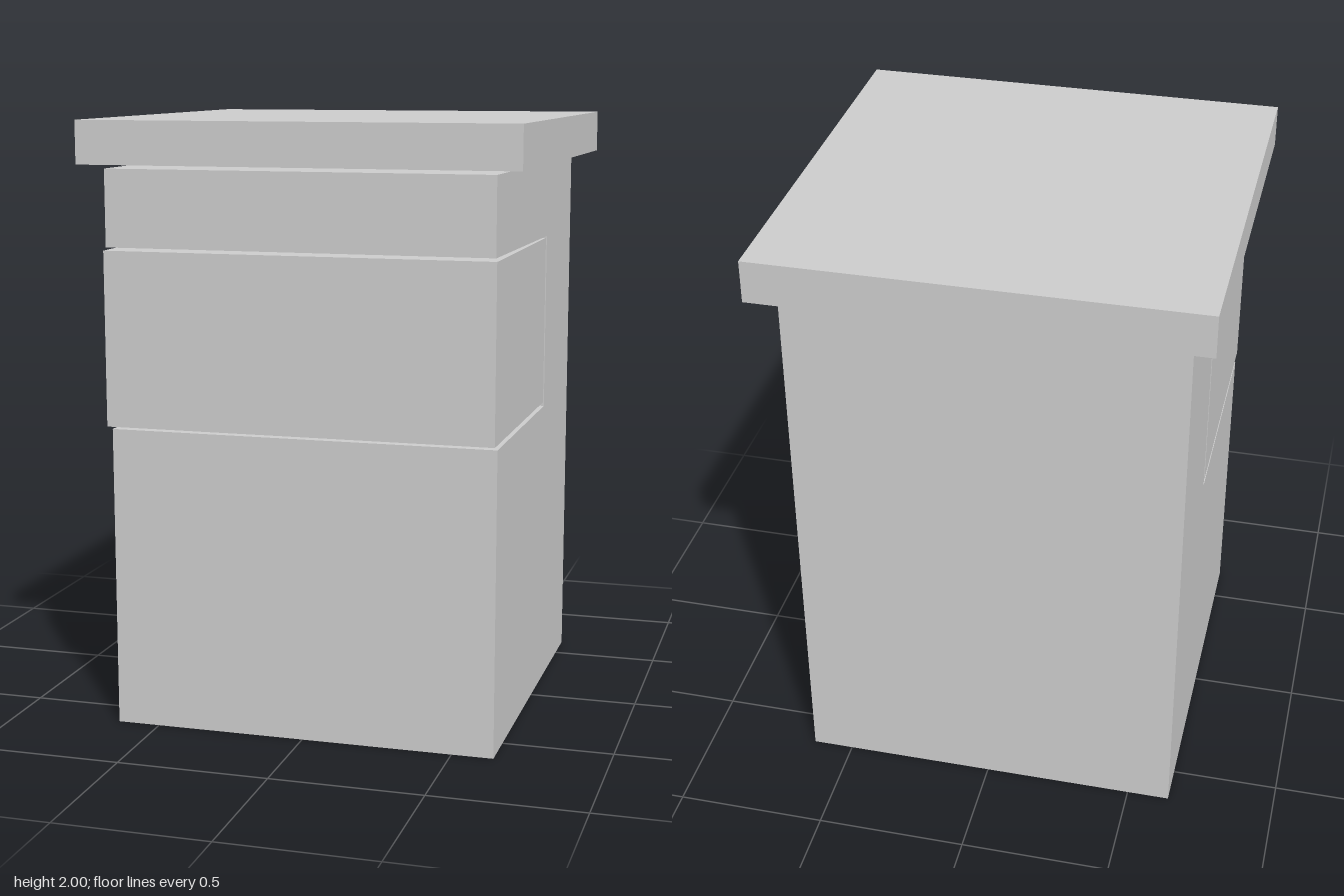
import * as THREE from 'three';

const material = new THREE.MeshStandardMaterial({ color: 0xcccccc, flatShading: true });

// Box given by its lower and upper corners
function boxBetween(min, max) {
  const g = new THREE.BoxGeometry(max[0] - min[0], max[1] - min[1], max[2] - min[2]);
  return g.translate((min[0] + max[0]) / 2, (min[1] + max[1]) / 2, (min[2] + max[2]) / 2);
}

export function createModel() {
  const group = new THREE.Group();
  const add = (name, geometry) => {
    const mesh = new THREE.Mesh(geometry, material);
    mesh.name = name;
    group.add(mesh);
  };
  const left = 0.637, right = -0.642, notchBack = -0.155, bodyTop = 1.844;

  // Cabinet body: L-shaped side profile (z, y) extruded across the width
  const profile = new THREE.Shape([
    [-0.634, 0], [0.645, 0], [0.645, 1], [notchBack, 1], [notchBack, bodyTop], [-0.634, bodyTop],
  ].map(([z, y]) => new THREE.Vector2(z, y)));
  const body = new THREE.ExtrudeGeometry(profile, { depth: left - right, bevelEnabled: false });
  body.rotateY(-Math.PI / 2).translate(left, 0, 0);
  add('body', body);

  // Lintel above the drawer, its front end skewed slightly to one side
  const lintel = boxBetween([right, 1.592, notchBack], [left, bodyTop, 0.635]);
  const p = lintel.attributes.position;
  for (let i = 0; i < p.count; i++) if (p.getZ(i) > 0) p.setX(i, p.getX(i) - 0.014);
  add('lintel', lintel);

  // Drawer floating in the notch, protruding at the front
  add('drawer', boxBetween([right, 1.016, -0.137], [left, 1.587, 0.688]));

  // Overhanging lid with a thin gap beneath
  add('lid', boxBetween([-0.717, 1.86, -0.717], [0.717, 2, 0.717]));

  return group;
}
